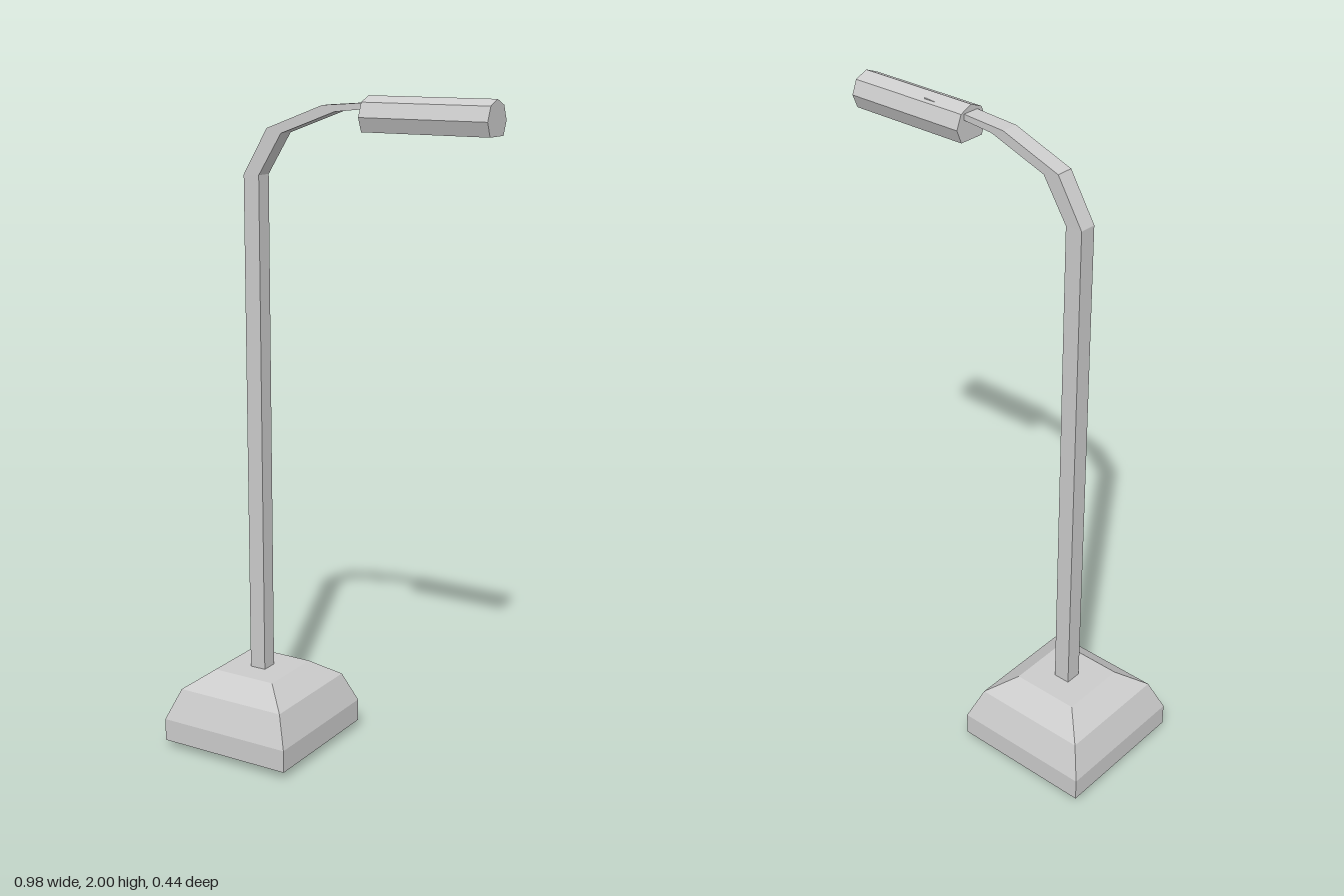
import * as THREE from 'three';

// Joins a row of cross-sections (equal point counts, counter-clockwise seen from the far end) and caps both ends
function loft(name, rings) {
  const n = rings[0].length;
  const index = [];
  for (let r = 0; r < rings.length - 1; r++) {
    for (let i = 0; i < n; i++) {
      const a = r * n + i, b = r * n + (i + 1) % n;
      index.push(a, b, b + n, a, b + n, a + n);
    }
  }
  const last = (rings.length - 1) * n;
  for (let i = 1; i < n - 1; i++) {
    index.push(0, i + 1, i, last, last + i, last + i + 1);
  }
  const indexed = new THREE.BufferGeometry();
  indexed.setAttribute('position', new THREE.Float32BufferAttribute(rings.flat(2), 3));
  indexed.setIndex(index);
  const geometry = indexed.toNonIndexed();
  geometry.computeVertexNormals();
  const material = new THREE.MeshStandardMaterial({ color: 0xcccccc, flatShading: true });
  const mesh = new THREE.Mesh(geometry, material);
  mesh.name = name;
  return mesh;
}

export function createModel() {
  const group = new THREE.Group();
  group.name = 'streetLamp';
  const poleX = -0.274, midZ = -0.002;

  // Stepped square base: height and half width of each level
  const levels = [[0.025, 0.219], [0.095, 0.219], [0.19, 0.181], [0.245, 0.105]];
  group.add(loft('base', levels.map(([y, h]) => [
    [poleX + h, y, midZ + h], [poleX + h, y, midZ - h],
    [poleX - h, y, midZ - h], [poleX - h, y, midZ + h],
  ])));

  // Square pole bending into a thin arm: inner x, y, outer x, y and centre z of each section
  const sections = [
    [-0.248, 0, -0.3, 0, -0.002],
    [-0.248, 1.768, -0.3, 1.768, -0.002],
    [-0.172, 1.889, -0.22, 1.902, -0.003],
    [0.005, 1.954, -0.035, 1.971, -0.004],
    [0.24, 1.978, 0.24, 1.991, -0.006],
  ];
  const half = 0.026;
  group.add(loft('poleAndArm', sections.map(([ix, iy, ox, oy, z]) => [
    [ix, iy, z + half], [ix, iy, z - half], [ox, oy, z - half], [ox, oy, z + half],
  ])));

  // Lamp head: octagonal bar with its lowest corner cut flat
  const radius = 0.057;
  group.add(loft('lampHead', [0.1, 0.49].map((x) => {
    const ring = [];
    for (let i = -1; i <= 5; i++) {
      const a = i * Math.PI / 4;
      ring.push([x, 1.943 + radius * Math.sin(a), midZ - radius * Math.cos(a)]);
    }
    return ring;
  })));

  return group;
}
